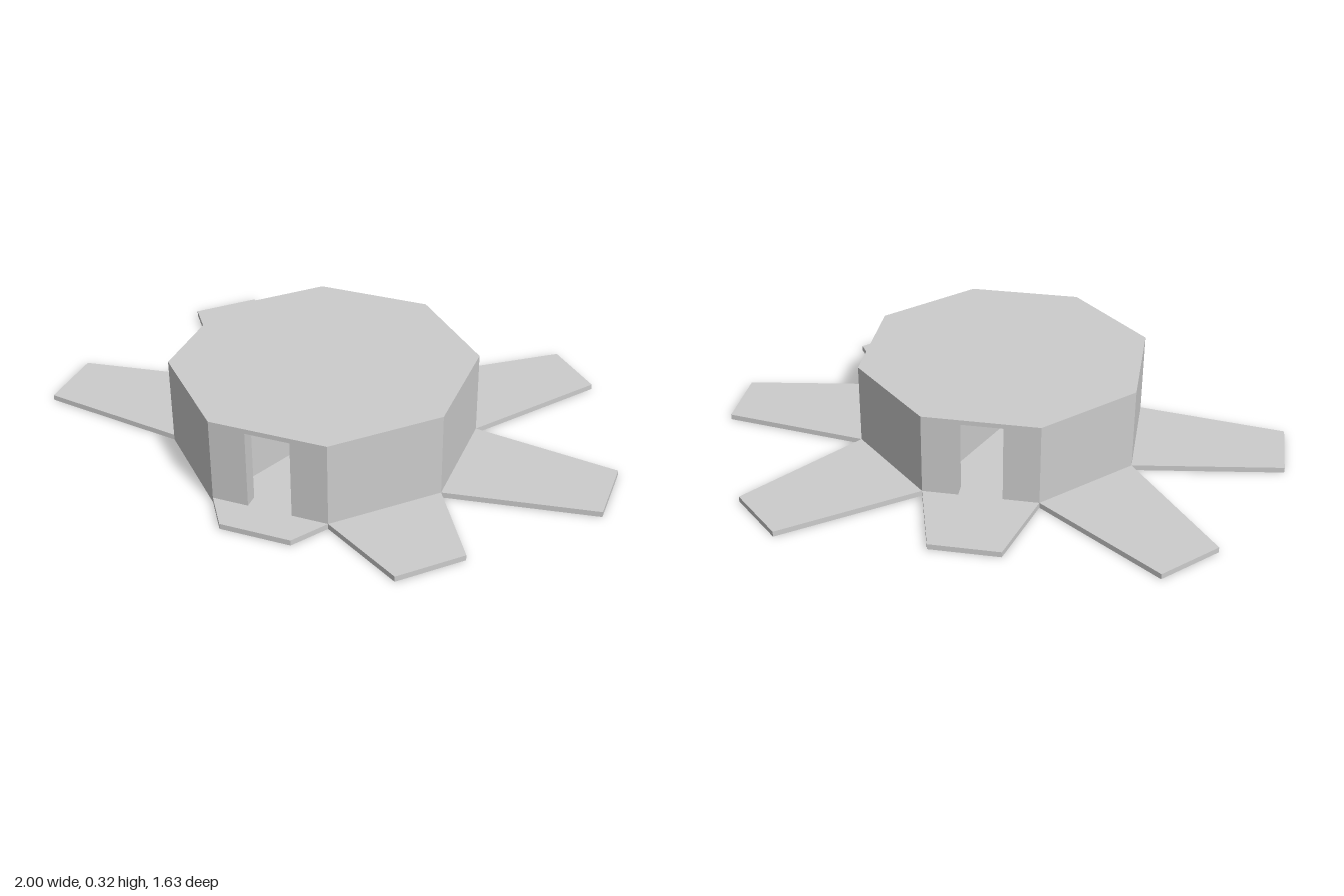
import * as THREE from 'three';

const CX = 0.005, CZ = 0.19;          // centre of the octagon
const R = 0.538;                      // corner radius
const A = R * Math.cos(Math.PI / 8);  // distance from centre to a wall face
const TAN = Math.tan(Math.PI / 8);
const WALL = 0.05, DOOR = 0.078;      // wall thickness, half door width
const FLOOR = 0.02, CEILING = 0.305, TOP = 0.322;

// arm length on each side of the octagon, and the sides with a doorway
const ARMS = [0.328, 0.122, 0, 0.54, 0.54, 0.301, 0.54, 0.53];
const DOORS = [1, 5];

// plan point on a side: n outwards from the centre, t along the side
function onSide(side, n, t) {
  const a = (side + 0.5) * Math.PI / 4;
  return [
    CX + n * Math.cos(a) - t * Math.sin(a),
    CZ + n * Math.sin(a) + t * Math.cos(a),
  ];
}

// upright prism over a plan outline
function prism(name, plan, y0, y1, material) {
  const shape = new THREE.Shape(plan.map(([x, z]) => new THREE.Vector2(x, -z)));
  const geometry = new THREE.ExtrudeGeometry(shape, { depth: y1 - y0, bevelEnabled: false });
  geometry.rotateX(-Math.PI / 2).translate(0, y0, 0);
  const mesh = new THREE.Mesh(geometry, material);
  mesh.name = name;
  return mesh;
}

export function createModel() {
  const model = new THREE.Group();
  model.name = 'octagonalPavilion';
  const material = new THREE.MeshStandardMaterial({ color: 0xcccccc, flatShading: true });

  // base slab with tapering arms
  const base = [];
  const octagon = [];
  ARMS.forEach((length, side) => {
    const corner = onSide(side, A, -A * TAN);
    octagon.push(corner);
    base.push(corner);
    if (length) base.push(onSide(side, A + length, -0.125), onSide(side, A + length, 0.125));
  });
  model.add(prism('baseSlab', base, 0, FLOOR, material));

  // mitred walls, split around the doorways
  const walls = new THREE.Group();
  walls.name = 'walls';
  const inner = A - WALL;
  for (let side = 0; side < 8; side++) {
    const start = [onSide(side, inner, -inner * TAN), onSide(side, A, -A * TAN)];
    const end = [onSide(side, A, A * TAN), onSide(side, inner, inner * TAN)];
    if (DOORS.includes(side)) {
      const jamb = (t) => [onSide(side, A, t), onSide(side, inner, t)];
      walls.add(prism('doorWall', [...start, ...jamb(-DOOR)], FLOOR, CEILING, material));
      walls.add(prism('doorWall', [...jamb(DOOR).reverse(), ...end], FLOOR, CEILING, material));
    } else {
      walls.add(prism('wall', [...start, ...end], FLOOR, CEILING, material));
    }
  }
  model.add(walls);

  // inner wall between the two rooms
  const half = 0.01, reach = R - WALL;
  model.add(prism('partition', [
    [CX - half, CZ - reach], [CX + half, CZ - reach],
    [CX + half, CZ + reach], [CX - half, CZ + reach],
  ], FLOOR, CEILING, material));

  // flat roof
  model.add(prism('roof', octagon, CEILING, TOP, material));
  return model;
}
